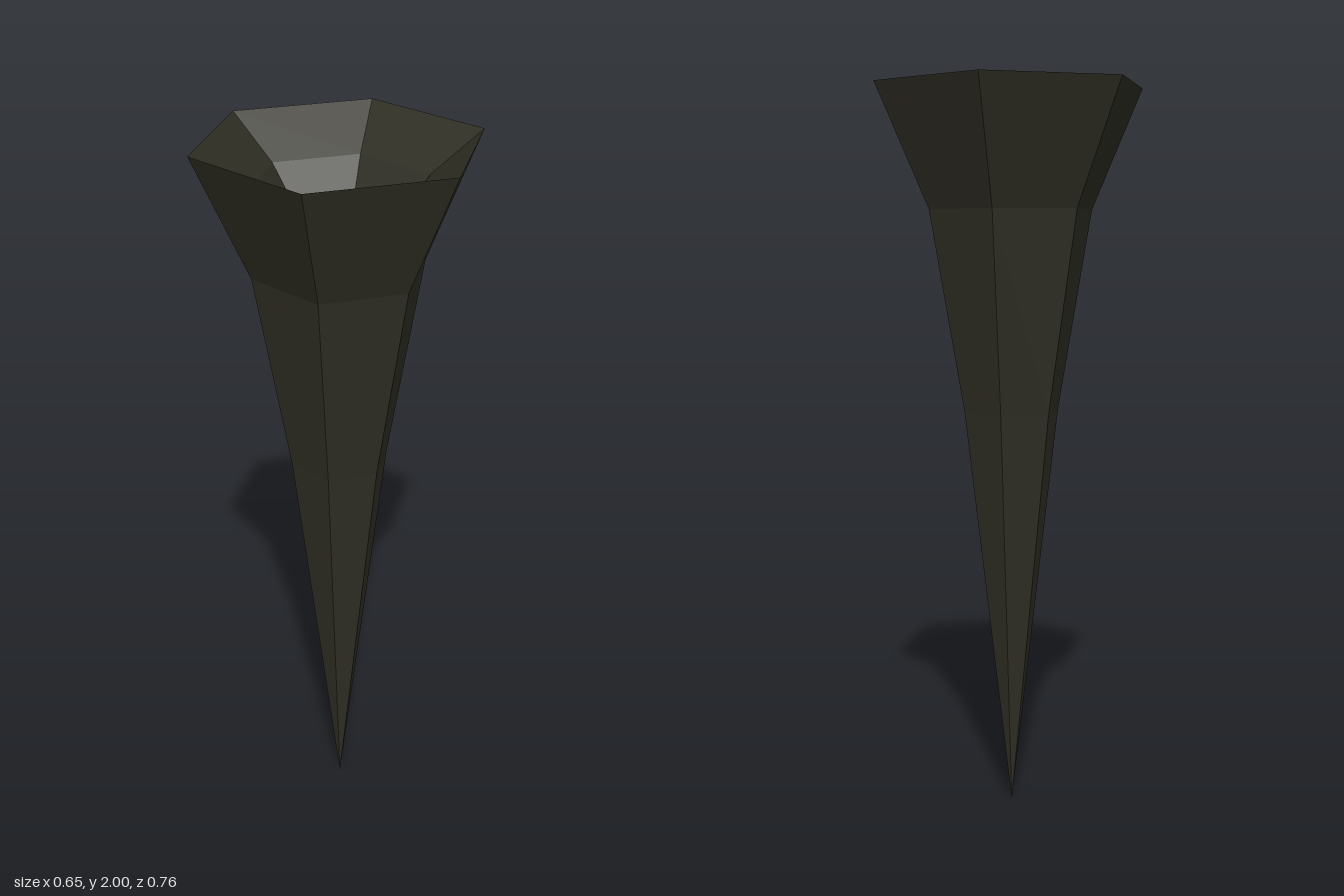
import * as THREE from 'three';

const SIDES = 6;

// Faceted hexagonal surface turned from [radius, height] pairs
function facetedLathe(name, profile, material) {
  const points = profile.map(([r, y]) => new THREE.Vector2(r, y));
  const geometry = new THREE.LatheGeometry(points, SIDES).toNonIndexed();
  geometry.computeVertexNormals();
  const mesh = new THREE.Mesh(geometry, material);
  mesh.name = name;
  return mesh;
}

export function createModel() {
  const group = new THREE.Group();
  group.name = 'flaredSpike';

  const darkOlive = new THREE.MeshStandardMaterial({ color: 0x2f2e24 });
  darkOlive.name = 'darkOlive';

  // Outer shell: sharp tip widening to the flared rim
  group.add(facetedLathe('outerSpike', [
    [0, 0], [0.135, 1.12], [0.232, 1.67], [0.378, 2],
  ], darkOlive));

  // Hollow in the top: two sloped bands down to a small flat floor
  group.add(facetedLathe('innerBowl', [
    [0.378, 2], [0.237, 1.895], [0.097, 1.72], [0, 1.72],
  ], darkOlive));

  return group;
}
